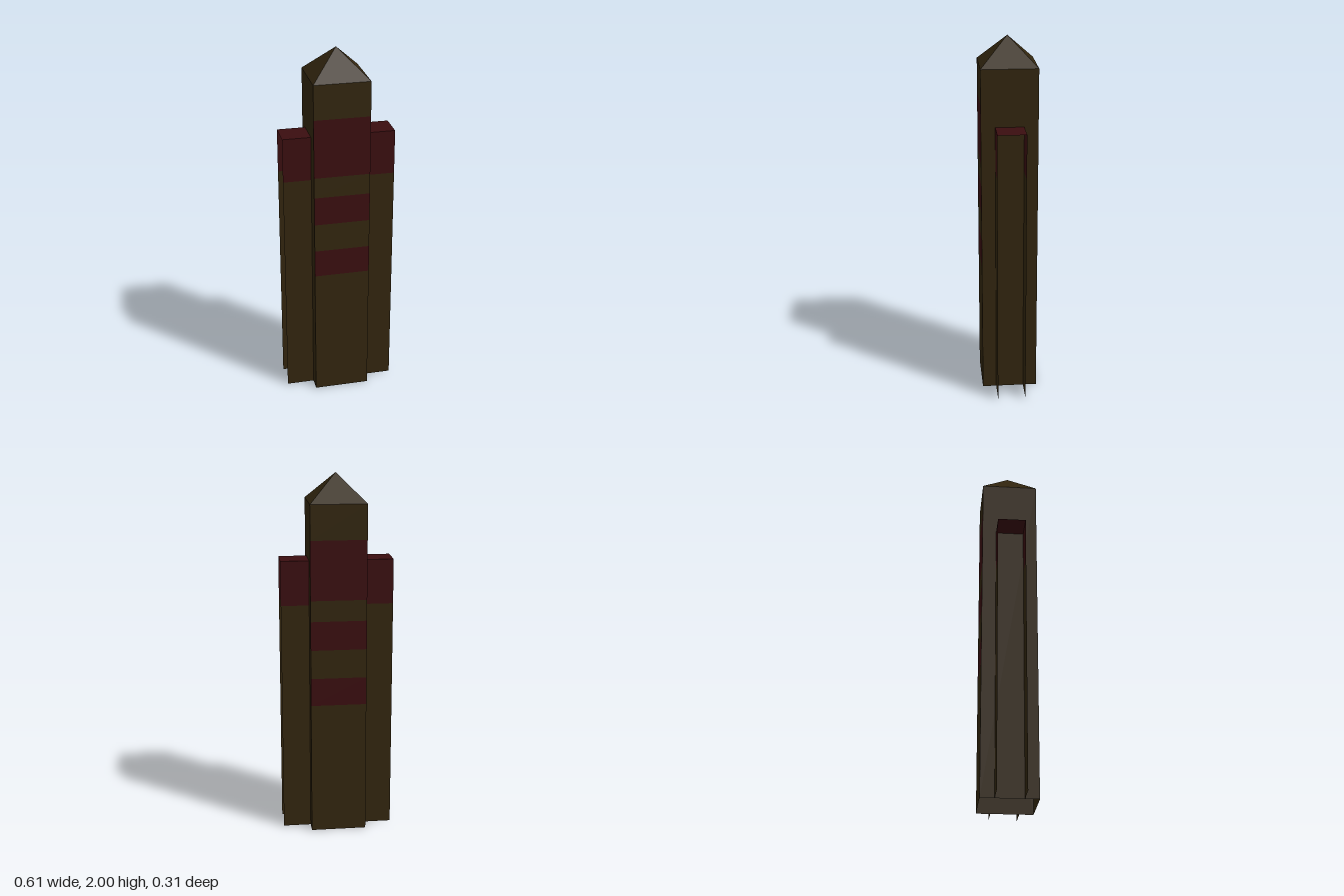
import * as THREE from 'three';

const HALF = 0.153;        // half width of the square shaft
const WING_HALF = 0.077;   // half depth of a side wing
const WING_OUT = 0.307;    // outer end of a wing
const SHAFT_TOP = 1.85;
const WING_TOP = 1.54;

export function createModel() {
  const model = new THREE.Group();
  model.name = 'tower';
  const brown = new THREE.MeshStandardMaterial({ color: 0x33260f, side: THREE.DoubleSide });
  brown.name = 'dark brown';
  const red = new THREE.MeshStandardMaterial({ color: 0x3b0e10, side: THREE.DoubleSide });
  red.name = 'dark red';

  // Upright wall facing +z, split into coloured strips: [top height, material, name]
  function wall(name, width, strips) {
    const group = new THREE.Group();
    group.name = name;
    let y = 0;
    for (const [top, material, label] of strips) {
      const mesh = new THREE.Mesh(new THREE.PlaneGeometry(width, top - y), material);
      mesh.position.y = (top + y) / 2;
      mesh.name = label;
      group.add(mesh);
      y = top;
    }
    return group;
  }

  const banded = [
    [0.745, brown, 'lowerWall'], [0.90, red, 'lowerBand'],
    [1.06, brown, 'middleWall'], [1.22, red, 'middleBand'],
    [1.335, brown, 'upperWall'], [1.66, red, 'upperBand'],
    [SHAFT_TOP, brown, 'topWall'],
  ];
  const wingStrips = [[1.295, brown, 'wingWall'], [WING_TOP, red, 'wingBand']];

  // Shaft: banded front and back, plain sides, open underneath
  for (let i = 0; i < 4; i++) {
    const face = wall(['frontWall', 'leftWall', 'backWall', 'rightWall'][i], 2 * HALF,
      i % 2 ? [[SHAFT_TOP, brown, 'plainWall']] : banded);
    const a = i * Math.PI / 2;
    face.rotation.y = a;
    face.position.set(Math.sin(a) * HALF, 0, Math.cos(a) * HALF);
    model.add(face);
  }

  // Pyramid roof
  const roofGeometry = new THREE.ConeGeometry(HALF * Math.SQRT2, 2 - SHAFT_TOP, 4, 1, true)
    .rotateY(Math.PI / 4).toNonIndexed();
  roofGeometry.computeVertexNormals();
  const roof = new THREE.Mesh(roofGeometry, brown);
  roof.name = 'roof';
  roof.position.y = (2 + SHAFT_TOP) / 2;
  model.add(roof);

  // Side wings: front, back and top only, open at the outer end and underneath
  for (const side of [1, -1]) {
    const wing = new THREE.Group();
    wing.name = side > 0 ? 'leftWing' : 'rightWing';
    const width = WING_OUT - HALF;
    for (const z of [1, -1]) {
      const face = wall(z > 0 ? 'wingFront' : 'wingBack', width, wingStrips);
      face.position.z = z * WING_HALF;
      if (z < 0) face.rotation.y = Math.PI;
      wing.add(face);
    }
    const cap = new THREE.Mesh(
      new THREE.PlaneGeometry(width, 2 * WING_HALF).rotateX(-Math.PI / 2), red);
    cap.name = 'wingTop';
    cap.position.y = WING_TOP;
    wing.add(cap);
    wing.position.x = side * (HALF + WING_OUT) / 2;
    model.add(wing);
  }
  return model;
}
